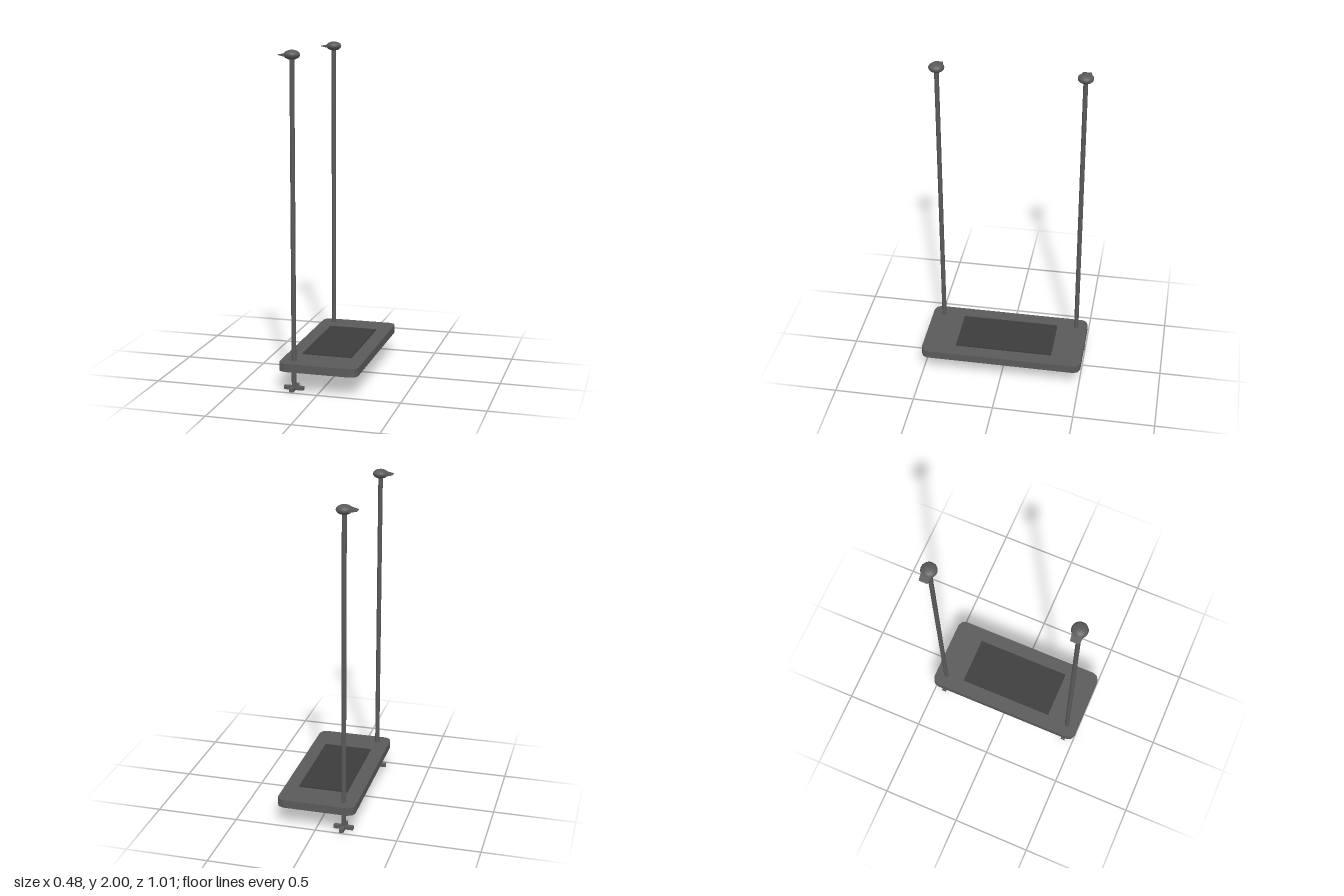
import * as THREE from 'three';

const dark = new THREE.MeshStandardMaterial({ color: 0x5a5a5a });
const darkFlat = new THREE.MeshStandardMaterial({ color: 0x5a5a5a, flatShading: true });
const black = new THREE.MeshStandardMaterial({ color: 0x3c3c3c });

function add(parent, name, geometry, material, x = 0, y = 0, z = 0) {
  const mesh = new THREE.Mesh(geometry, material);
  mesh.name = name;
  mesh.position.set(x, y, z);
  parent.add(mesh);
  return mesh;
}

// Slab with corners cut in two facets
function slabGeometry(hx, hz, height) {
  const corner = [[0, 0.04], [0.012, 0.014], [0.042, 0]];
  const pts = [];
  for (const [sx, sz] of [[1, 1], [-1, 1], [-1, -1], [1, -1]]) {
    const c = corner.map(([dx, dz]) => new THREE.Vector2(sx * (hx - dx), sz * (hz - dz)));
    pts.push(...(sx * sz > 0 ? c : c.reverse()));
  }
  const g = new THREE.ExtrudeGeometry(new THREE.Shape(pts), { depth: height, bevelEnabled: false });
  return g.rotateX(-Math.PI / 2);
}

// Wedge that narrows to a thin blade towards -x
function beakGeometry() {
  const g = new THREE.BoxGeometry(0.077, 0.034, 0.074);
  const p = g.attributes.position;
  for (let i = 0; i < p.count; i++) {
    if (p.getX(i) < 0) p.setXYZ(i, p.getX(i), p.getY(i) * 0.08, p.getZ(i) * 0.68);
  }
  g.computeVertexNormals();
  return g;
}

function createPost(name, z) {
  const post = new THREE.Group();
  post.name = name;
  post.position.set(-0.16, 0, z);
  add(post, 'pole', new THREE.CylinderGeometry(0.014, 0.014, 1.96, 16), dark, 0, 0.985, 0);
  add(post, 'cap', new THREE.SphereGeometry(0.047, 24, 16).scale(1, 0.6, 1), dark, 0, 1.971, 0);
  add(post, 'capBeak', beakGeometry(), darkFlat, -0.0385, 1.971, 0);
  // Crossed foot bars
  add(post, 'footBarAcross', new THREE.BoxGeometry(0.12, 0.021, 0.026), darkFlat, 0, 0.0125, 0);
  add(post, 'footBarAlong', new THREE.BoxGeometry(0.026, 0.021, 0.12), darkFlat, 0, 0.0125, 0);
  add(post, 'footHub', new THREE.CylinderGeometry(0.014, 0.014, 0.024, 16), dark, 0, 0.012, 0);
  return post;
}

export function createModel() {
  const model = new THREE.Group();
  model.name = 'platformWithPosts';
  // Platform and its raised mat
  add(model, 'platform', slabGeometry(0.24, 0.507, 0.05), darkFlat, 0, 0.128, 0);
  add(model, 'mat', new THREE.BoxGeometry(0.302, 0.02, 0.61), black, 0.002, 0.175, -0.01);
  model.add(createPost('backPost', -0.437), createPost('frontPost', 0.434));
  return model;
}
